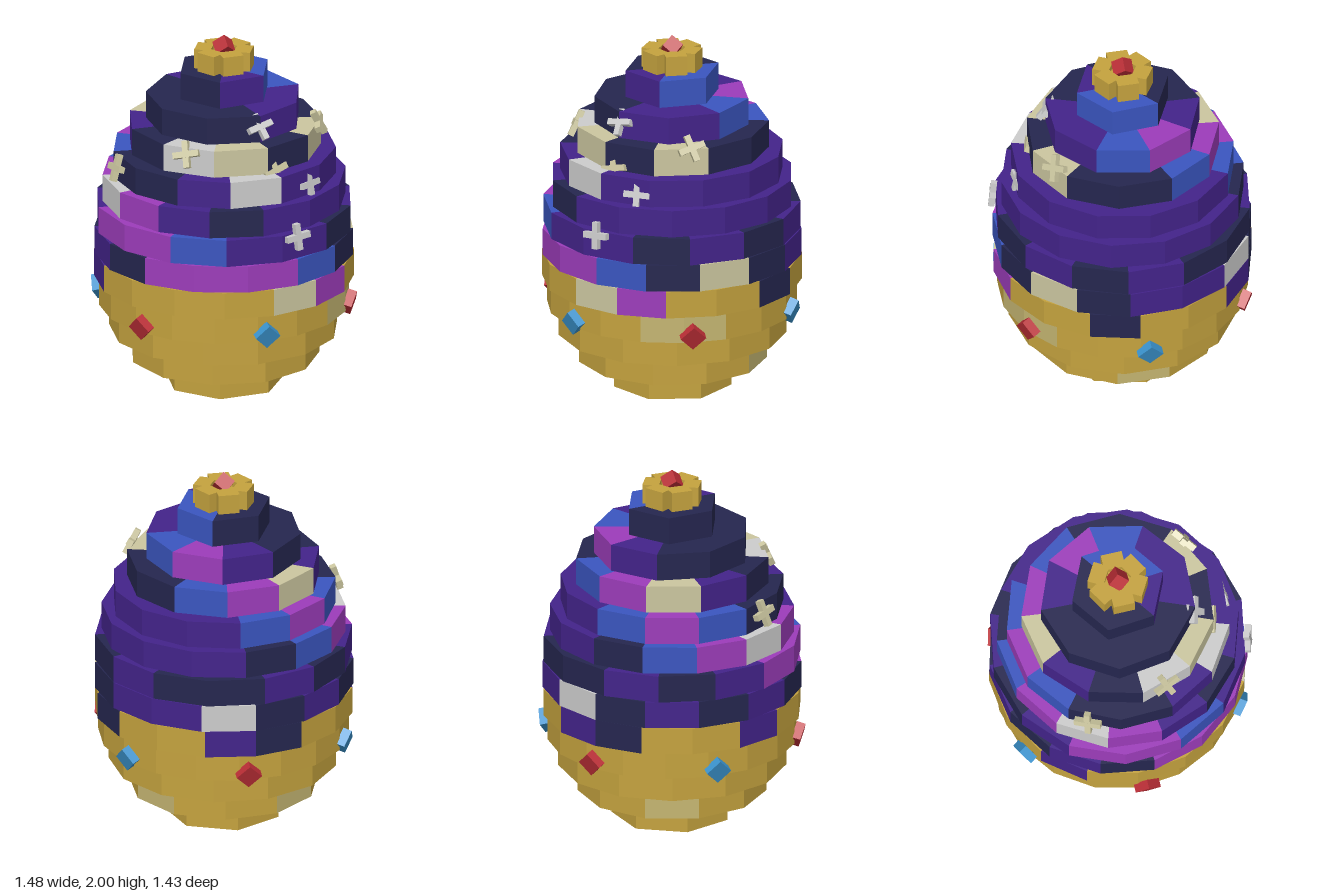
import * as THREE from 'three';
import { mergeGeometries } from 'three/addons/utils/BufferGeometryUtils.js';

const colour = (name, hex) => {
  const m = new THREE.MeshStandardMaterial({ color: hex });
  m.name = name;
  return m;
};

// Bricks are keyed by one letter per colour
const mats = {
  G: colour('gold', 0xc4a23e),
  Y: colour('paleGold', 0xc4b571),
  P: colour('purple', 0x43238a),
  D: colour('navy', 0x25264f),
  B: colour('blue', 0x3a55bf),
  M: colour('magenta', 0x9c3cba),
  C: colour('cream', 0xcbc69f),
  W: colour('lightGrey', 0xcccccc),
  R: colour('red', 0xb92d35),
  S: colour('skyBlue', 0x3a92cc),
};

const ROW_H = 0.1513;
const rad = THREE.MathUtils.degToRad;

// Rows from the bottom up: radius, first corner in degrees, brick colours going round
const rows = [
  [0.33, -2, 'GGGGGGG'],
  [0.52, 9, 'GGYGGYGGGGG'],
  [0.628, 23, 'GGGGGGGGGGGGG'],
  [0.685, 6, 'YYGGGGGGGGGGGGGGGG'],
  [0.71, -4.5, 'MGGDGGPDGGPGGGGC'],
  [0.71, 9, 'DCDPPWDPDPDMMMB'],
  [0.705, 3, 'DPDPDDPDPMMBPP'],
  [0.667, -5, 'PPPPPPDBMWMPDP'],
  [0.612, 9, 'PPPPPBMBDDPWP'],
  [0.53, 10, 'CDDBMCPDWCD'],
  [0.427, 18, 'PBMPDDDDP'],
  [0.262, 5.5, 'BBDDDP'],
];

// One ring of wedge-shaped bricks, merged by colour
function brickRow([radius, start, codes], index) {
  const row = new THREE.Group();
  row.name = `brickRow${index + 1}`;
  const step = (Math.PI * 2) / codes.length;
  const byColour = {};
  [...codes].forEach((code, i) => {
    const wedge = new THREE.CylinderGeometry(radius, radius, ROW_H, 1, 1, false, rad(start) + i * step, step).toNonIndexed();
    wedge.computeVertexNormals();
    (byColour[code] ??= []).push(wedge);
  });
  for (const [code, parts] of Object.entries(byColour)) {
    const mesh = new THREE.Mesh(mergeGeometries(parts), mats[code]);
    mesh.name = `${mats[code].name}Bricks`;
    row.add(mesh);
  }
  row.position.y = (index + 0.5) * ROW_H;
  return row;
}

function box(name, mat, w, h, d) {
  const mesh = new THREE.Mesh(new THREE.BoxGeometry(w, h, d), mat);
  mesh.name = name;
  return mesh;
}

// Faces an object outwards at an azimuth, pitched up (+) or down (-), then rolled about its normal
function faceOut(object, x, y, z, pitch, roll) {
  object.position.set(x, y, z);
  object.rotation.order = 'YXZ';
  object.rotation.set(-rad(pitch), Math.atan2(x, z), rad(roll));
  return object;
}

function plus(mat) {
  const g = new THREE.Group();
  g.name = 'crossStud';
  g.add(box('crossBar', mat, 0.15, 0.034, 0.036), box('crossPost', mat, 0.034, 0.15, 0.034));
  return g;
}

export function createModel() {
  const model = new THREE.Group();
  model.name = 'brickEgg';

  // Egg body
  const body = new THREE.Group();
  body.name = 'body';
  rows.forEach((r, i) => body.add(brickRow(r, i)));
  model.add(body);

  // Six gems around the gold base
  for (let i = 0; i < 6; i++) {
    const a = rad(30 + i * 60);
    const gem = box('sideGem', i % 2 ? mats.S : mats.R, 0.1, 0.1, 0.05);
    model.add(faceOut(gem, 0.695 * Math.sin(a), 0.495, 0.695 * Math.cos(a), -16, 45));
  }

  // Cross-shaped studs: x, y, z, pitch, roll, colour
  [
    [0.02, 1.27, 0.592, 12, 0, 'W'],
    [-0.185, 1.04, 0.685, 6, 4, 'W'],
    [-0.155, 1.6, 0.39, 35, 12, 'W'],
    [0.28, 1.52, 0.44, 25, 18, 'C'],
    [-0.15, 1.37, 0.495, 20, 15, 'C'],
    [-0.5, 1.48, 0.155, 25, 15, 'C'],
    [-0.555, 1.31, -0.3, 18, 8, 'C'],
  ].forEach(([x, y, z, pitch, roll, c]) => model.add(faceOut(plus(mats[c]), x, y, z, pitch, roll)));

  // Gold crown of six petals
  const crown = new THREE.Group();
  crown.name = 'crown';
  for (let i = 0; i < 6; i++) {
    const a = rad(30 + i * 60);
    const petal = box('crownPetal', mats.G, 0.118, 0.11, 0.09);
    crown.add(faceOut(petal, 0.11 * Math.sin(a), 1.87, 0.11 * Math.cos(a), 0, 0));
  }
  const core = new THREE.Mesh(new THREE.CylinderGeometry(0.1, 0.1, 0.075, 6), mats.G);
  core.name = 'crownCore';
  core.position.y = 1.853;
  crown.add(core);
  model.add(crown);

  // Red cube balanced on its corner at the top
  const topGem = box('topGem', mats.R, 0.08, 0.08, 0.08);
  const upright = new THREE.Quaternion().setFromUnitVectors(
    new THREE.Vector3(1, 1, 1).normalize(), new THREE.Vector3(0, 1, 0));
  topGem.quaternion.setFromAxisAngle(new THREE.Vector3(0, 1, 0), Math.PI / 4).multiply(upright);
  topGem.position.y = 1.93;
  model.add(topGem);

  return model;
}
